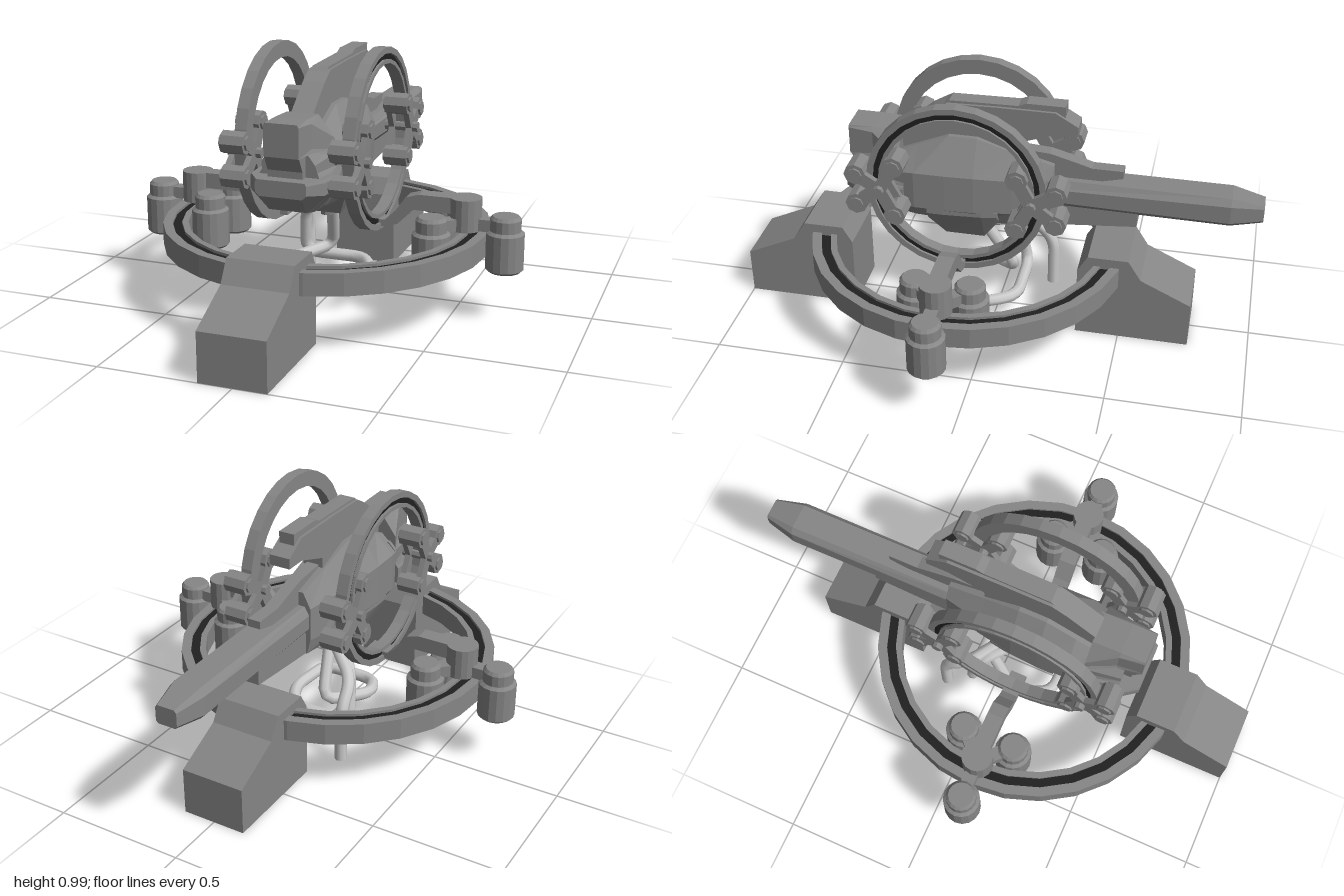
import * as THREE from 'three';

const grey = new THREE.MeshStandardMaterial({ color: 0x868686, flatShading: true });
const dark = new THREE.MeshStandardMaterial({ color: 0x212121, flatShading: true });
const pale = new THREE.MeshStandardMaterial({ color: 0xcccccc });
const CZ = 0.115; // centre of the rings along z

function add(parent, name, geo, x = 0, y = 0, z = 0, mat = grey) {
  const m = new THREE.Mesh(geo, mat);
  m.name = name;
  m.position.set(x, y, z);
  parent.add(m);
  return m;
}

// Flat profile extruded about its own plane (x, y)
function slab(points, depth) {
  const shape = new THREE.Shape(points.map(p => new THREE.Vector2(...p)));
  return new THREE.ExtrudeGeometry(shape, { depth, bevelEnabled: false }).translate(0, 0, -depth / 2);
}
// Profile given as (z, y), extruded along x
const sideSlab = (points, width) => slab(points, width).rotateY(-Math.PI / 2);

// Loft of eight-sided sections running front to back:
// [z, topHalf, midHalf, bottomHalf, yTop, yMidHigh, yMidLow, yBottom]
function loft(sections) {
  const pos = [], idx = [], n = 8;
  for (const [z, t, m, b, y3, y2, y1, y0] of sections) {
    for (const [x, y] of [[b, y0], [m, y1], [m, y2], [t, y3], [-t, y3], [-m, y2], [-m, y1], [-b, y0]]) pos.push(x, y, z);
  }
  const last = (sections.length - 1) * n;
  for (let s = 0; s < last; s += n) {
    for (let i = 0; i < n; i++) {
      const j = (i + 1) % n;
      idx.push(s + i, s + n + i, s + n + j, s + i, s + n + j, s + j);
    }
  }
  for (let i = 1; i < n - 1; i++) idx.push(0, i, i + 1, last, last + i + 1, last + i);
  const g = new THREE.BufferGeometry();
  g.setAttribute('position', new THREE.Float32BufferAttribute(pos, 3));
  g.setIndex(idx);
  g.computeVertexNormals();
  return g;
}

// Ring around y with a dark channel in its upper face
function grooveRing(name, ri, ro, h, segs) {
  const g = new THREE.Group(), w = ro - ri, a = ri + w * 0.25, b = ri + w * 0.62, f = h / 2 - 0.012;
  const lathe = pts => new THREE.LatheGeometry(pts.map(p => new THREE.Vector2(...p)), segs);
  g.name = name;
  add(g, name + 'Body', lathe([[ri, -h / 2], [ro, -h / 2], [ro, h / 2], [b, h / 2], [b, f], [a, f], [a, h / 2], [ri, h / 2], [ri, -h / 2]]));
  add(g, name + 'Channel', lathe([[b, f + 0.002], [a, f + 0.002]]), 0, 0, 0, dark);
  return g;
}

// Bar between two points of a plane, lying along its local x
function bar(parent, name, ax, ay, bx, by, width, thick) {
  const m = add(parent, name, new THREE.BoxGeometry(Math.hypot(bx - ax, by - ay), width, thick));
  m.position.set((ax + bx) / 2, (ay + by) / 2, 0);
  m.rotation.z = Math.atan2(by - ay, bx - ax);
}

// Roller clamp gripping an upright ring, built in a (z, y) plane
function clamp(dir) {
  const g = new THREE.Group();
  g.name = 'ringClamp';
  for (const [u, v] of [[0.09, 0.055], [0.09, -0.07], [-0.055, 0.1], [-0.055, -0.105]]) {
    const z = u * dir;
    add(g, 'clampRoller', new THREE.CylinderGeometry(0.042, 0.042, 0.09, 8).rotateZ(Math.PI / 2), 0, v, z);
    add(g, 'rollerCap', new THREE.CylinderGeometry(0.028, 0.028, 0.106, 8).rotateZ(Math.PI / 2), 0, v, z);
    for (const x of [-0.034, 0.034]) {
      const arm = new THREE.Group();
      arm.rotation.y = -Math.PI / 2;
      arm.position.x = x;
      bar(arm, 'clampArm', 0, 0, z, v, 0.05, 0.022);
      g.add(arm);
    }
  }
  add(g, 'clampPin', new THREE.CylinderGeometry(0.02, 0.02, 0.13, 8).rotateZ(Math.PI / 2));
  return g;
}

// Everything on one side: upright ring, clamps, arm and roller pods
function sideUnit() {
  const g = new THREE.Group();
  g.name = 'sideUnit';
  const ring = grooveRing('uprightRing', 0.28, 0.34, 0.045, 28);
  ring.rotation.z = -Math.PI / 2;
  ring.position.set(0.203, 0.645, 0);
  g.add(ring);
  for (const d of [-1, 1]) {
    const c = clamp(d);
    c.position.set(0.205, 0.63, d * 0.285);
    g.add(c);
  }
  add(g, 'supportArm', slab([[0.15, 0.32], [0.25, 0.32], [0.29, 0.335], [0.35, 0.395], [0.55, 0.395], [0.55, 0.455],
    [0.37, 0.455], [0.32, 0.44], [0.27, 0.37], [0.24, 0.345], [0.15, 0.345]], 0.065));
  add(g, 'armHub', new THREE.CylinderGeometry(0.06, 0.06, 0.12, 16), 0.54, 0.395, 0);
  const links = new THREE.Group();
  links.rotation.x = Math.PI / 2;
  links.position.y = 0.36;
  g.add(links);
  for (const [x, z] of [[0.69, 0], [0.44, 0.103], [0.44, -0.103]]) {
    bar(links, 'podLink', 0.54, 0, x, z, 0.05, 0.045);
    add(g, 'rollerPod', new THREE.LatheGeometry([[0, 0.19], [0.06, 0.19], [0.071, 0.2], [0.071, 0.335], [0.058, 0.345],
      [0.058, 0.388], [0.048, 0.4], [0, 0.4]].map(p => new THREE.Vector2(...p)), 16), x, 0, z);
  }
  return g;
}

// Straight runs joined by short rounded bends
function pipe(parent, name, pts) {
  const path = new THREE.CurvePath(), v = pts.map(p => new THREE.Vector3(...p));
  let from = v[0];
  for (let i = 1; i < v.length - 1; i++) {
    const r = d => Math.min(0.06, v[i].distanceTo(d) / 2.1) / v[i].distanceTo(d);
    const a = v[i].clone().lerp(v[i - 1], r(v[i - 1])), b = v[i].clone().lerp(v[i + 1], r(v[i + 1]));
    path.add(new THREE.LineCurve3(from, a));
    path.add(new THREE.QuadraticBezierCurve3(a, v[i], b));
    from = b;
  }
  const end = v[v.length - 1];
  path.add(new THREE.LineCurve3(from, end));
  add(parent, name, new THREE.TubeGeometry(path, 64, 0.024, 8), 0, 0, 0, pale);
  add(parent, name + 'End', new THREE.CircleGeometry(0.024, 8).rotateX(Math.PI / 2), end.x, end.y, end.z, pale);
}

export function createModel() {
  const root = new THREE.Group();
  root.name = 'ringMountedCraft';

  // Base ring and its two feet
  const base = grooveRing('baseRing', 0.525, 0.62, 0.083, 28);
  base.position.set(0, 0.277, CZ);
  root.add(base);
  for (const d of [1, -1]) {
    const foot = add(root, d > 0 ? 'frontFoot' : 'backFoot', sideSlab([[0.447, 0], [0.885, 0], [0.885, 0.183], [0.69, 0.275],
      [0.64, 0.354], [0.485, 0.354], [0.447, 0.29]], 0.25), 0, 0, CZ);
    if (d < 0) foot.rotation.y = Math.PI;
  }

  // Left and right units
  for (const turn of [0, Math.PI]) {
    const s = sideUnit();
    s.position.z = CZ;
    s.rotation.y = turn;
    root.add(s);
  }

  // Hull with pedestal and neck
  add(root, 'hull', loft([
    [0.37, 0.06, 0.125, 0.09, 0.7, 0.64, 0.5, 0.45], [0.3, 0.06, 0.14, 0.1, 0.73, 0.65, 0.5, 0.445],
    [0.18, 0.06, 0.14, 0.1, 0.78, 0.65, 0.5, 0.44], [0.07, 0.06, 0.135, 0.1, 0.78, 0.65, 0.5, 0.44],
    [-0.07, 0.05, 0.11, 0.08, 0.73, 0.64, 0.5, 0.435], [-0.22, 0.045, 0.075, 0.06, 0.69, 0.63, 0.5, 0.44]]));
  add(root, 'pedestal', loft([[0.25, 0.1, 0.14, 0.12, 0.52, 0.5, 0.48, 0.45], [0.19, 0.1, 0.14, 0.08, 0.52, 0.5, 0.48, 0.365],
    [0.04, 0.1, 0.13, 0.08, 0.52, 0.5, 0.48, 0.365], [-0.02, 0.09, 0.12, 0.1, 0.52, 0.5, 0.48, 0.45]]));
  add(root, 'neck', new THREE.CylinderGeometry(0.03, 0.025, 0.06, 8), 0, 0.365, CZ);

  // Head: brow, undercut face, cheeks and jaw
  add(root, 'brow', loft([[0.565, 0.06, 0.065, 0.065, 0.785, 0.775, 0.68, 0.665], [0.47, 0.06, 0.075, 0.08, 0.785, 0.77, 0.68, 0.665],
    [0.36, 0.06, 0.12, 0.13, 0.78, 0.7, 0.66, 0.64]]));
  add(root, 'face', sideSlab([[0.33, 0.58], [0.53, 0.58], [0.53, 0.61], [0.562, 0.668], [0.33, 0.668]], 0.13));
  add(root, 'cheeks', loft([[0.5, 0.07, 0.1, 0.12, 0.67, 0.63, 0.6, 0.57], [0.34, 0.1, 0.13, 0.14, 0.68, 0.65, 0.6, 0.57]]));
  add(root, 'jaw', loft([[0.575, 0.09, 0.095, 0.08, 0.585, 0.575, 0.54, 0.525], [0.51, 0.135, 0.14, 0.07, 0.585, 0.575, 0.53, 0.46],
    [0.46, 0.14, 0.145, 0.08, 0.585, 0.575, 0.53, 0.45], [0.34, 0.14, 0.145, 0.09, 0.585, 0.575, 0.53, 0.45]]));

  // Dorsal fin with overhanging rear and top rail
  add(root, 'dorsalFin', sideSlab([[0.39, 0.66], [0.39, 0.76], [0.25, 0.87], [0.19, 0.905], [0, 0.91], [-0.22, 0.91],
    [-0.305, 0.86], [-0.305, 0.82], [-0.22, 0.82], [-0.075, 0.77], [-0.075, 0.66]], 0.084));
  add(root, 'finRail', sideSlab([[0.2, 0.9], [0.18, 0.915], [-0.08, 0.92], [-0.11, 0.933], [-0.255, 0.933], [-0.255, 0.88]], 0.062));
  add(root, 'rearSpine', sideSlab([[-0.05, 0.6], [-0.05, 0.74], [-0.2, 0.73], [-0.31, 0.7], [-0.36, 0.685], [-0.477, 0.685], [-0.477, 0.655],
    [-0.38, 0.63], [-0.3, 0.6]], 0.05));

  // Long tail boom and keel
  add(root, 'tailBoom', loft([[-0.1, 0.05, 0.07, 0.05, 0.635, 0.6, 0.55, 0.525], [-0.88, 0.05, 0.07, 0.05, 0.635, 0.61, 0.54, 0.52],
    [-1, 0.034, 0.042, 0.034, 0.61, 0.6, 0.55, 0.54]]));
  add(root, 'keel', sideSlab([[0.05, 0.43], [0.05, 0.54], [-0.54, 0.53], [-0.54, 0.47], [-0.22, 0.44]], 0.11));

  // Pipes hanging below the hull
  pipe(root, 'loopPipe', [[0, 0.38, 0.1], [-0.15, 0.31, -0.05], [-0.17, 0.1, -0.09], [0.08, 0.1, -0.09], [0.15, 0.1, 0.03],
    [0.13, 0.1, 0.24], [-0.1, 0.1, 0.24], [-0.16, 0.13, 0.1], [-0.04, 0.15, -0.07], [0, 0.38, 0.06]]);
  pipe(root, 'dropPipe', [[0, 0.39, 0.05], [-0.18, 0.3, -0.1], [-0.19, 0.21, -0.19], [-0.19, 0, -0.19]]);
  return root;
}
